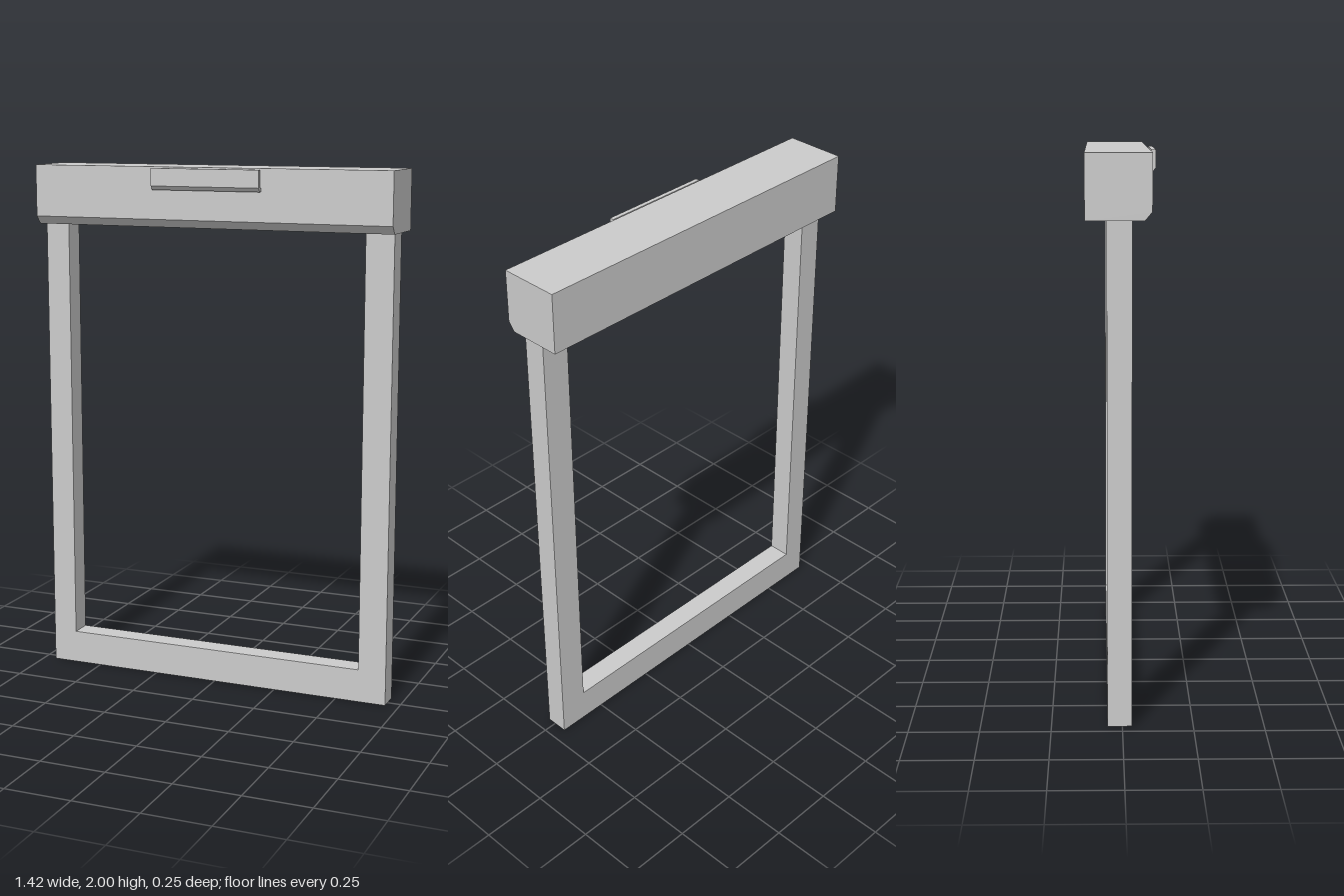
import * as THREE from 'three';

const material = new THREE.MeshStandardMaterial({ color: 0xcccccc, flatShading: true });

const outline = (points) => new THREE.Shape(points.map(([a, b]) => new THREE.Vector2(a, b)));

function extrude(name, points, depth) {
  const geometry = new THREE.ExtrudeGeometry(outline(points), { depth, bevelEnabled: false });
  const mesh = new THREE.Mesh(geometry, material);
  mesh.name = name;
  return mesh;
}

// Sweeps a (z, y) profile sideways from x0 to x1
function sweepAcross(name, profile, x0, x1) {
  const mesh = extrude(name, profile, x1 - x0);
  mesh.geometry.rotateY(-Math.PI / 2).translate(x1, 0, 0);
  return mesh;
}

export function createModel() {
  const model = new THREE.Group();
  model.name = 'framedScreen';

  // U-shaped frame: two posts and a bottom rail, open under the header
  const frame = extrude('frame', [
    [-0.703, 0], [0.698, 0], [0.698, 1.78], [0.59, 1.78],
    [0.59, 0.127], [-0.608, 0.127], [-0.608, 1.78], [-0.703, 1.78],
  ], 0.086);
  frame.position.z = -0.053;
  model.add(frame);

  // Header box with a chamfered lower front edge
  model.add(sweepAcross('header', [
    [-0.127, 1.775], [0.075, 1.775], [0.1, 1.805], [0.1, 2], [-0.127, 2],
  ], -0.71, 0.71));

  // Pull handle: a lip standing off the header, open at the top
  model.add(sweepAcross('handle', [
    [0.1, 1.915], [0.115, 1.915], [0.127, 1.93], [0.127, 1.995],
    [0.111, 1.995], [0.111, 1.93], [0.1, 1.93],
  ], -0.215, 0.212));

  return model;
}
